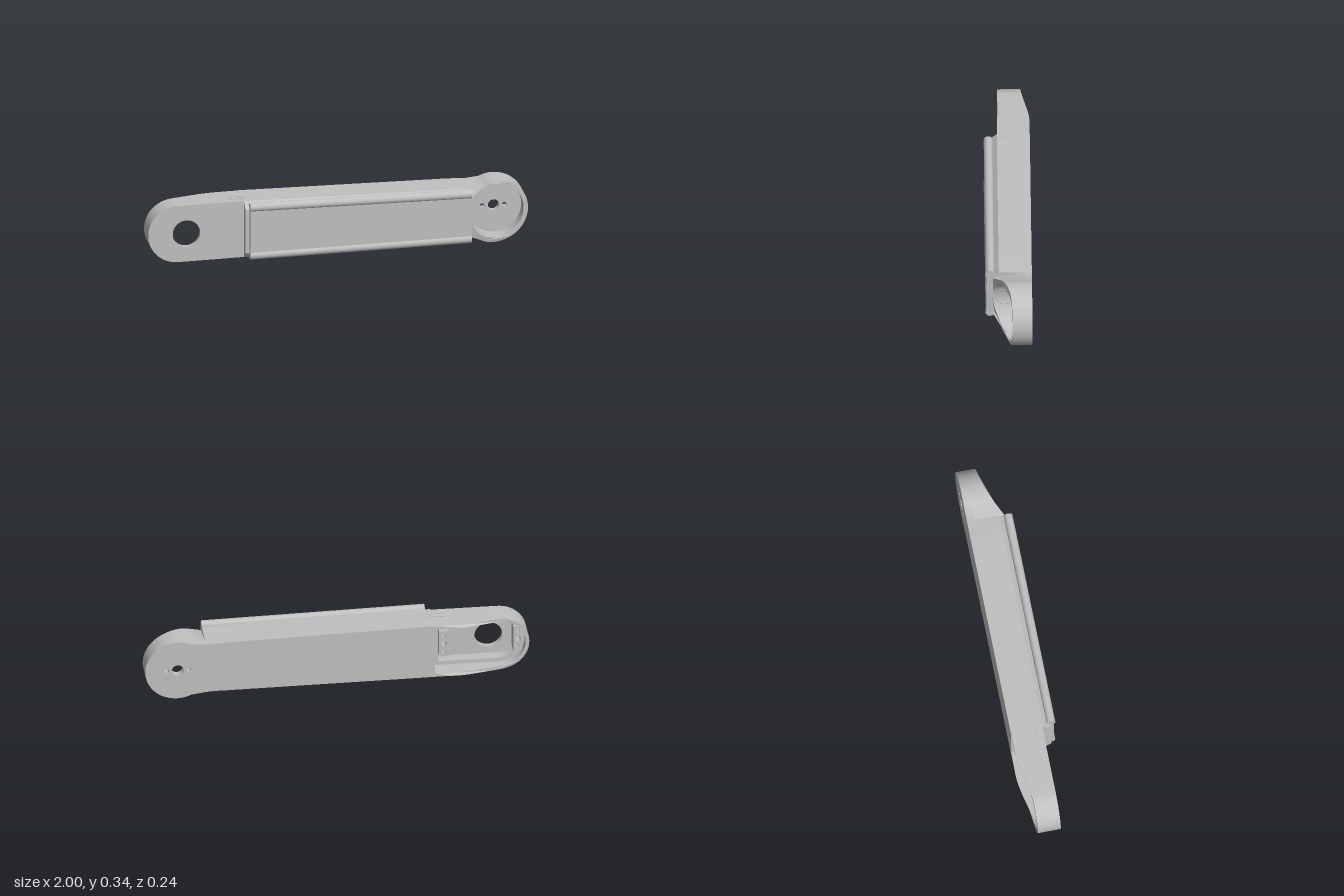
import * as THREE from 'three';
import { toCreasedNormals } from 'three/addons/utils/BufferGeometryUtils.js';

export function createModel() {
  const group = new THREE.Group();
  const grey = new THREE.MeshStandardMaterial({ color: 0xc0c0c0 });
  const add = (name, geo, x = 0, y = 0, z = 0) => {
    const m = new THREE.Mesh(geo, grey);
    m.name = name;
    m.position.set(x, y, z);
    group.add(m);
    return m;
  };
  const circle = (x, y, r) => new THREE.Path().absarc(x, y, r, 0, Math.PI * 2, true);

  // extrude of unit depth whose two ends are placed by the rules back(x) and front(x)
  const slab = (points, holes, back, front, shape) => {
    const s = new THREE.Shape(points);
    s.holes.push(...holes);
    const g = new THREE.ExtrudeGeometry(s, { depth: 1, bevelEnabled: false, curveSegments: 32 });
    const p = g.attributes.position;
    for (let i = 0; i < p.count; i++) {
      const x = p.getX(i), isFront = p.getZ(i) > 0.5;
      const z = isFront ? front(x) : back(x);
      p.setZ(i, z);
      if (shape) p.setY(i, shape(x, p.getY(i), z, isFront));
    }
    return toCreasedNormals(g, 0.5);
  };

  // ---- long tapered body, lofted along x from one cross-section
  const loft = (name, x0, x1, sec0, sec1) => {
    const pos = [], n = sec0.length;
    const v = (x, q) => [x, q[1], q[0]];
    for (let i = 0; i < n; i++) {
      const j = (i + 1) % n;
      const a = v(x0, sec0[i]), b = v(x0, sec0[j]), c = v(x1, sec1[j]), d = v(x1, sec1[i]);
      pos.push(...a, ...d, ...c, ...a, ...c, ...b);
      if (i > 0 && i < n - 1) {
        pos.push(...v(x0, sec0[0]), ...a, ...b);
        pos.push(...v(x1, sec1[0]), ...c, ...d);
      }
    }
    const g = new THREE.BufferGeometry();
    g.setAttribute('position', new THREE.Float32BufferAttribute(pos, 3));
    g.computeVertexNormals();
    return add(name, g);
  };
  // section runs (z, y), seen from -x, counter-clockwise
  const bodySection = (b, t) => [[-0.12, b], [0.05, b], [0.092, b + 0.035], [0.092, t - 0.035], [0.05, t], [-0.12, t]];
  const panelSection = (b, t) => [[0.085, b], [0.11, b], [0.11, t], [0.085, t]];
  loft('body', -0.5, 0.6, bodySection(0.018, 0.324), bodySection(0.027, 0.316)).name = 'body';
  loft('bodyEnd', 0.6, 0.684, bodySection(0.027, 0.316), bodySection(0.03, 0.312));
  loft('frontPanel', -0.478, 0.682, panelSection(0.043, 0.304), panelSection(0.058, 0.3));

  // rounded rails along both long edges of the panel
  for (const [name, y0, y1] of [['topRail', 0.304, 0.3], ['bottomRail', 0.043, 0.058]]) {
    const path = new THREE.LineCurve3(new THREE.Vector3(-0.478, y0, 0.095), new THREE.Vector3(0.682, y1, 0.095));
    add(name, new THREE.TubeGeometry(path, 1, 0.023, 24));
    for (const [x, y, s] of [[-0.478, y0, -1], [0.682, y1, 1]]) {
      add(name + 'Cap', new THREE.CircleGeometry(0.023, 24), x, y, 0.095).rotation.y = s * Math.PI / 2;
    }
  }

  // ---- rounded end with a pocket open at the back
  const cx = -0.847, cy = 0.165;
  const stadium = (r, xEnd) => {
    const pts = [], n = 14;
    const put = (x, y) => pts.push(new THREE.Vector2(x, y + Math.max(0, x - cx) * 0.016));
    for (let i = 0; i < n; i++) put(xEnd + (cx - xEnd) * i / n, cy + r);
    for (let i = 0; i <= 32; i++) {
      const a = Math.PI / 2 + Math.PI * i / 32;
      put(cx + r * Math.cos(a), cy + r * Math.sin(a));
    }
    for (let i = 1; i <= n; i++) put(cx + (xEnd - cx) * i / n, cy - r);
    return pts;
  };
  const rimZ = x => -0.075 - 0.044 * THREE.MathUtils.smoothstep(x, -0.92, -0.62);
  add('pocketFloor', slab(stadium(0.153, -0.47), [circle(-0.8, 0.165, 0.072)], () => 0.02, () => 0.045));
  add('pocketWall', slab(stadium(0.153, -0.47), [new THREE.Path(stadium(0.134, -0.505))], rimZ, () => 0.02));
  add('pocketLedge', slab(stadium(0.136, -0.49), [new THREE.Path(stadium(0.112, -0.53))], () => -0.035, () => 0.02));

  // screw blocks at both ends of the pocket, each with two holes
  for (const x of [-0.945, -0.56]) {
    const w = 0.024, h = 0.075;
    const pts = [[-w, -h], [w, -h], [w, h], [-w, h]].map(([a, b]) => new THREE.Vector2(a, b));
    const holes = [-0.045, 0, 0.045].map(y => circle(0, y, y ? 0.009 : 0.014));
    add('screwBlock', slab(pts, holes, () => -0.045, () => 0.02), x, 0.167, 0);
  }

  // small wedge-shaped catches on the top and bottom
  for (const [y, s] of [[0.323, 1], [0.018, -1]]) {
    for (const z of [-0.026, 0.006]) {
      add('catch', new THREE.BoxGeometry(0.09, 0.008, 0.008), -0.523, y, z).rotation.y = z < 0 ? -0.08 : 0.08;
    }
    add('catchBar', new THREE.BoxGeometry(0.012, 0.007, 0.03), -0.5, y, -0.01);
  }

  // ---- round joint cup at the other end
  const jx = 0.832, jy = 0.168, jr = 0.168;
  const outline = [new THREE.Vector2(0.64, 0.028)];
  outline.push(new THREE.Vector2(0.69, 0.025));
  for (let i = 0; i <= 64; i++) {
    const a = (-0.64 + 1.28 * i / 64) * Math.PI;
    outline.push(new THREE.Vector2(jx + jr * Math.cos(a), jy + jr * Math.sin(a)));
  }
  outline.push(new THREE.Vector2(0.69, 0.312), new THREE.Vector2(0.64, 0.314));
  const cupZ = x => Math.min(0.088, -0.018 + 0.105 * Math.pow(Math.max(0, 1 - x) / 0.32, 2.2));
  const squeeze = (x, y, z, isFront) => {
    if (!isFront) return y;
    const limit = 0.168 - Math.max(0, z - 0.02) * 0.95;
    return jy + THREE.MathUtils.clamp(y - jy, -limit, limit);
  };
  add('cupFloor', slab(outline,
    [circle(jx, jy, 0.03), circle(jx - 0.058, jy, 0.012), circle(jx + 0.058, jy, 0.012)],
    () => -0.12, () => -0.085));
  add('cupWall', slab(outline, [circle(jx, jy, 0.145)], () => -0.085, cupZ, squeeze));

  // lip of the cable bore on the cup's inner wall
  const lip = [];
  for (let i = 0; i < 32; i++) {
    const a = i / 32 * Math.PI * 2, y = 0.046 * Math.cos(a);
    lip.push(new THREE.Vector3(jx - Math.sqrt(0.145 ** 2 - y * y), jy + y, 0.022 + 0.046 * Math.sin(a)));
  }
  add('cableBoreLip', new THREE.TubeGeometry(new THREE.CatmullRomCurve3(lip, true), 48, 0.003, 6, true));

  return group;
}
